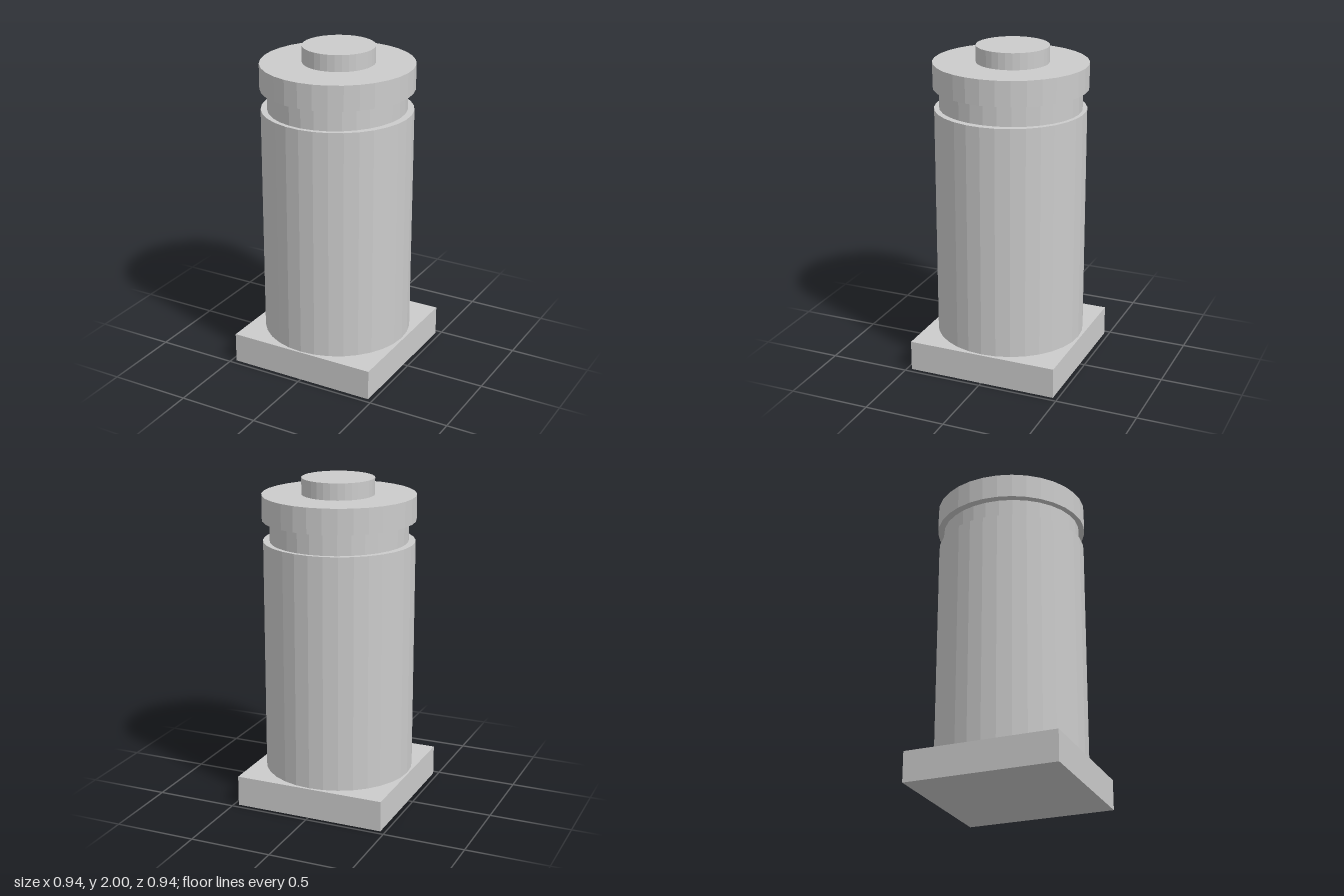
import * as THREE from 'three';

export function createModel() {
  const model = new THREE.Group();
  const material = new THREE.MeshStandardMaterial({ color: 0xcccccc, flatShading: true });

  function add(name, geometry, x, y, z) {
    const mesh = new THREE.Mesh(geometry, material);
    mesh.name = name;
    mesh.position.set(x, y, z);
    model.add(mesh);
  }

  // Upright drum between two heights, with slightly different x and z radii
  function drum(name, rx, rz, bottom, top, x = 0, z = 0) {
    const geometry = new THREE.CylinderGeometry(1, 1, top - bottom, 32);
    geometry.scale(rx, 1, rz);
    add(name, geometry, x, (bottom + top) / 2, z);
  }

  // Square plinth
  add('base', new THREE.BoxGeometry(0.94, 0.188, 0.94), 0, 0.094, 0);

  // Stacked round parts
  drum('body', 0.457, 0.457, 0.188, 1.62, -0.002, 0.002);
  drum('neck', 0.414, 0.431, 1.62, 1.748, -0.002, 0.001);
  drum('lid', 0.461, 0.466, 1.748, 1.9, -0.002, 0);
  drum('knob', 0.218, 0.219, 1.9, 2, -0.001, -0.012);

  return model;
}
